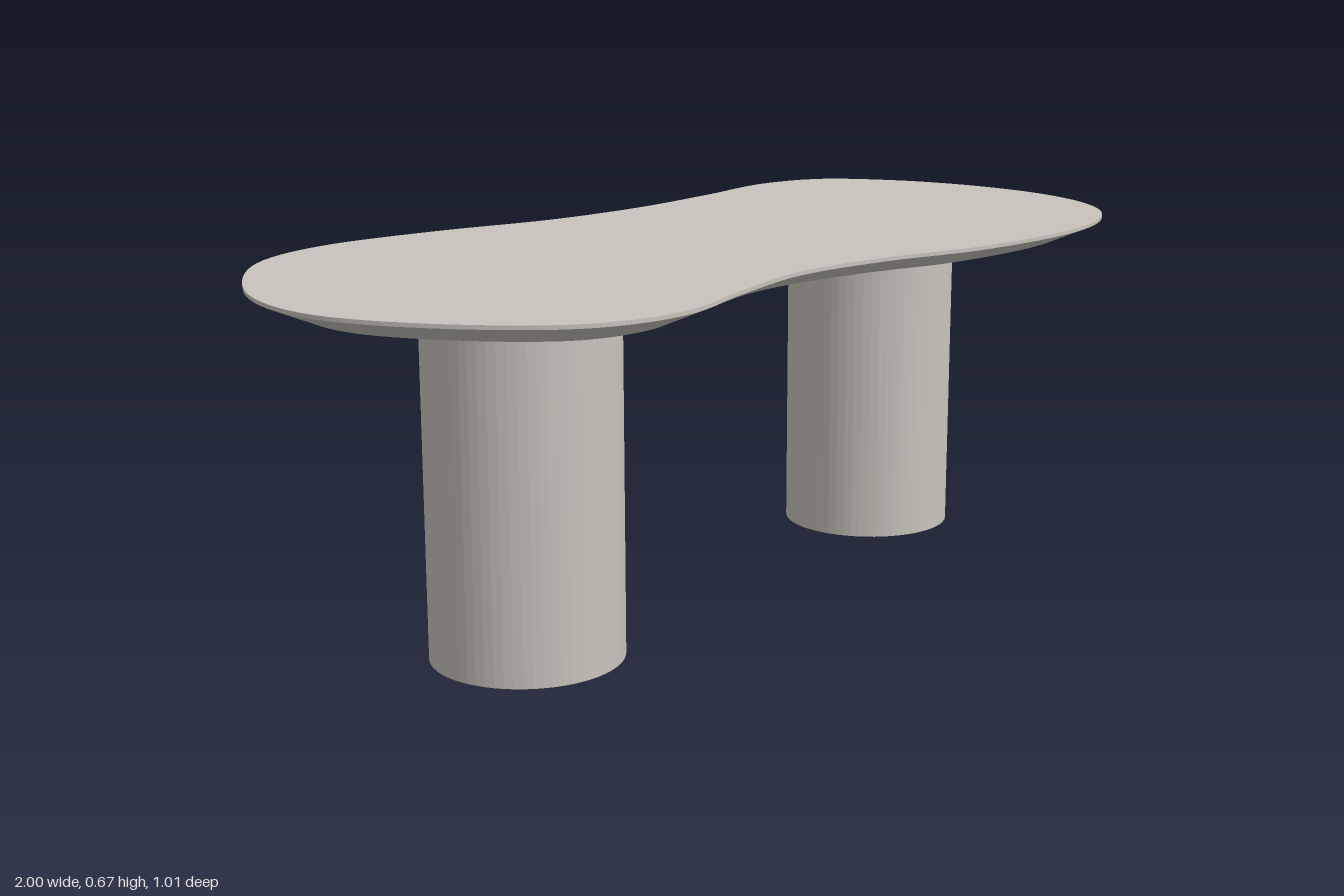
import * as THREE from 'three';

// Plan outline of the tabletop as [x, z], clockwise seen from above
const OUTLINE = [
  [-1, 0], [-0.955, -0.19], [-0.8, -0.388], [-0.67, -0.475], [-0.5, -0.508], [-0.25, -0.47],
  [0, -0.4], [0.25, -0.375], [0.5, -0.386], [0.75, -0.405], [0.9, -0.35], [0.975, -0.21],
  [1, -0.05], [0.975, 0.15], [0.9, 0.31], [0.79, 0.42], [0.65, 0.482], [0.47, 0.502],
  [0.2, 0.467], [0, 0.4], [-0.22, 0.362], [-0.42, 0.388], [-0.64, 0.43], [-0.8, 0.382], [-0.93, 0.22],
];
const SEGMENTS = 160;
const TOP = 0.668, LIP = 0.661, UNDERSIDE = 0.628, INSET = 0.077;

// Band of quads joining a lower and an upper plan loop
function band(lower, yLow, upper, yHigh) {
  const pos = [], index = [], n = lower.length;
  lower.forEach((p, i) => pos.push(p.x, yLow, p.y, upper[i].x, yHigh, upper[i].y));
  for (let i = 0; i < n; i++) {
    const a = 2 * i, b = 2 * ((i + 1) % n);
    index.push(a, a + 1, b + 1, a, b + 1, b);
  }
  const g = new THREE.BufferGeometry();
  g.setAttribute('position', new THREE.Float32BufferAttribute(pos, 3));
  g.setIndex(index);
  g.computeVertexNormals();
  return g;
}

// Flat face filling a plan loop, facing up (1) or down (-1)
function face(loop, y, facing) {
  const shape = new THREE.Shape(loop.map(p => new THREE.Vector2(p.x, -facing * p.y)));
  return new THREE.ShapeGeometry(shape).rotateX(-facing * Math.PI / 2).translate(0, y, 0);
}

export function createModel() {
  const stone = new THREE.MeshStandardMaterial({ color: 0xc8c3bc });
  stone.name = 'warm grey stone';
  const stoneFaceted = stone;
  const model = new THREE.Group();
  model.name = 'coffeeTable';
  const add = (parent, name, geometry) => {
    const mesh = new THREE.Mesh(geometry, stoneFaceted);
    mesh.name = name;
    parent.add(mesh);
    return mesh;
  };

  // Outer loop and its inward offset for the undercut edge
  const curve = new THREE.CatmullRomCurve3(OUTLINE.map(([x, z]) => new THREE.Vector3(x, 0, z)), true);
  const outer = [], inner = [];
  for (let i = 0; i < SEGMENTS; i++) {
    const p = curve.getPointAt(i / SEGMENTS), t = curve.getTangentAt(i / SEGMENTS);
    outer.push(new THREE.Vector2(p.x, p.z));
    inner.push(new THREE.Vector2(p.x - t.z * INSET, p.z + t.x * INSET));
  }

  // Tabletop: flat top, thin lip, sloping undercut, flat underside
  const tabletop = new THREE.Group();
  tabletop.name = 'tabletop';
  add(tabletop, 'topSurface', face(outer, TOP, 1));
  add(tabletop, 'rimLip', band(outer, LIP, outer, TOP));
  add(tabletop, 'undercutEdge', band(inner, UNDERSIDE, outer, LIP));
  add(tabletop, 'underside', face(inner, UNDERSIDE, -1));
  model.add(tabletop);

  // Two faceted column legs
  for (const [name, x] of [['rightLeg', -0.555], ['leftLeg', 0.539]]) {
    const leg = new THREE.CylinderGeometry(0.172, 0.172, UNDERSIDE, 64).toNonIndexed();
    leg.computeVertexNormals();
    add(model, name, leg).position.set(x, UNDERSIDE / 2, 0.017);
  }
  return model;
}
